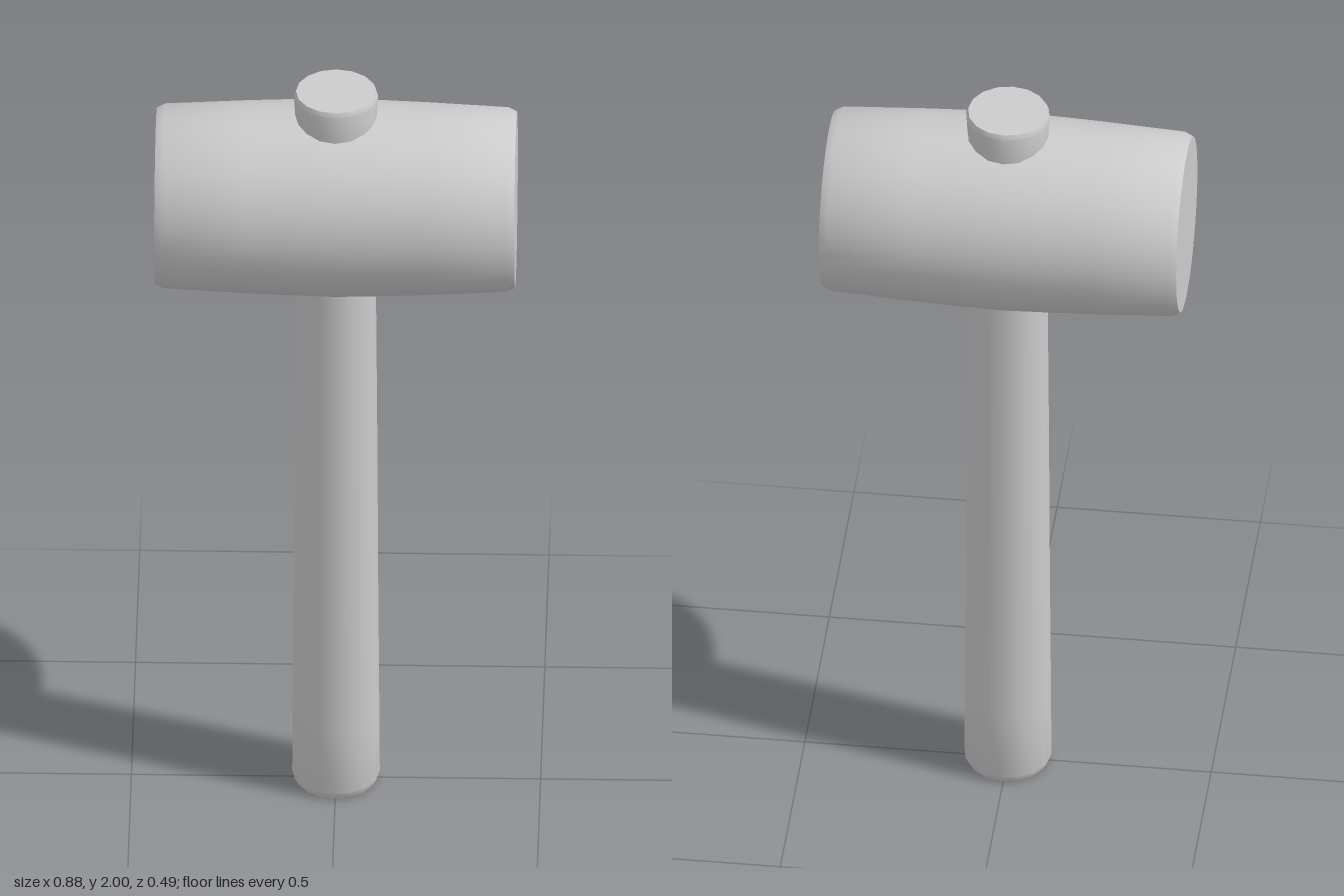
import * as THREE from 'three';
import { toCreasedNormals } from 'three/addons/utils/BufferGeometryUtils.js';

const material = new THREE.MeshStandardMaterial({ color: 0xcccccc });

// Turned solid from [radius, height] pairs, listed bottom to top
function turned(name, profile, sides, crease) {
  const points = profile.map(([r, y]) => new THREE.Vector2(r, y));
  const mesh = new THREE.Mesh(toCreasedNormals(new THREE.LatheGeometry(points, sides), crease), material);
  mesh.name = name;
  return mesh;
}

export function createModel() {
  const group = new THREE.Group();
  group.name = 'mallet';

  // Tapered handle running through the head, with chamfered ends
  group.add(turned('handle', [
    [0, 0], [0.098, 0], [0.107, 0.018], [0.106, 0.2], [0.103, 0.6], [0.101, 1.0],
    [0.098, 1.4], [0.097, 1.7], [0.099, 1.92], [0.103, 1.988], [0.098, 2], [0, 2],
  ], 16, 0.5));

  // Barrel-shaped head lying along x, with small eased rims
  const half = [[0, 0.44], [0.216, 0.44], [0.226, 0.42], [0.236, 0.22], [0.24, 0.11]];
  const head = turned('head', [
    ...half.map(([r, x]) => [r, -x]), [0.243, 0], ...half.slice().reverse(),
  ], 40, 0.75);
  head.rotation.z = Math.PI / 2;
  head.position.y = 1.69;
  group.add(head);

  return group;
}
